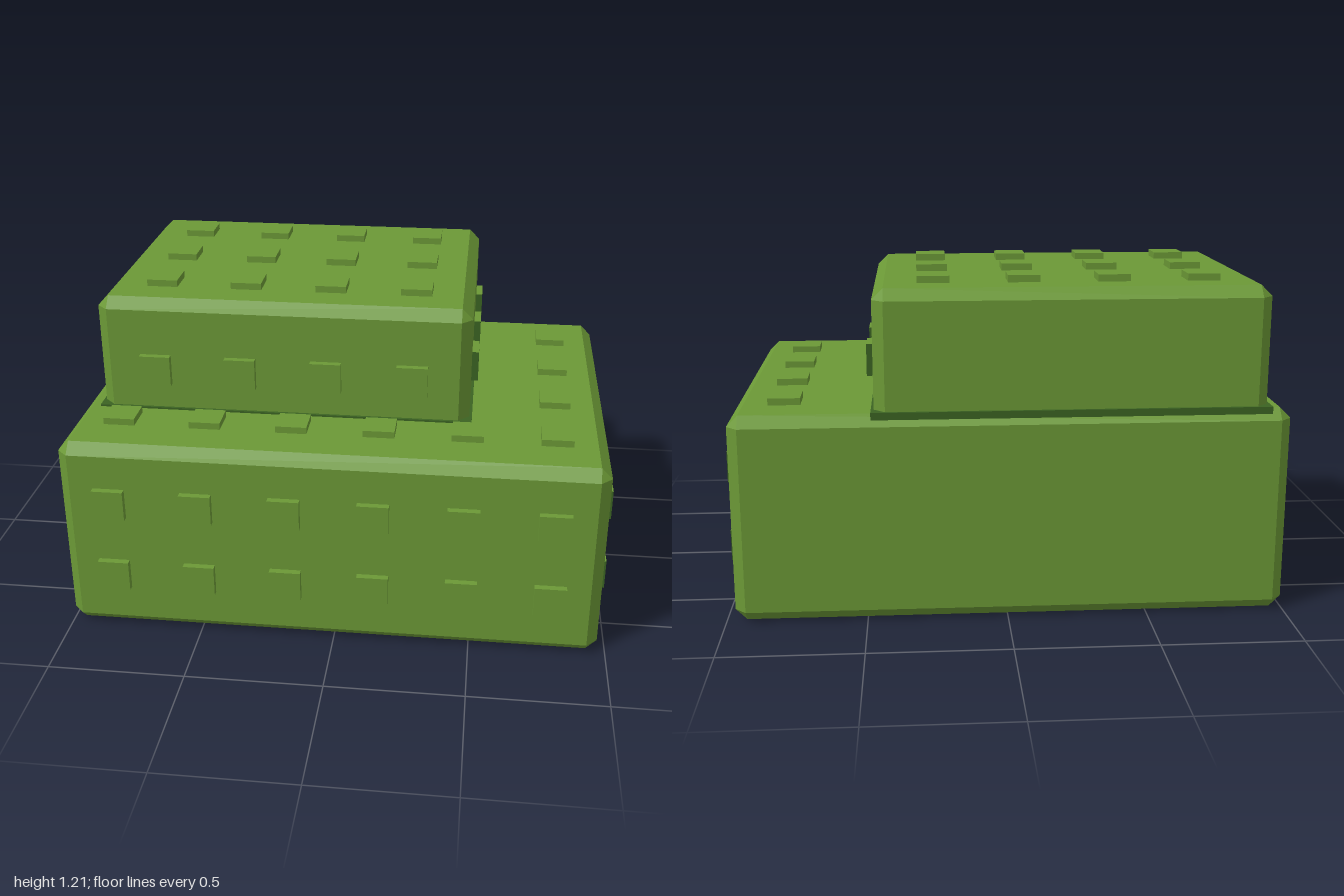
import * as THREE from 'three';
import { ConvexGeometry } from 'three/addons/geometries/ConvexGeometry.js';

const leafGreen = new THREE.MeshStandardMaterial({ color: 0x6b9836 });
leafGreen.name = 'leafGreen';
const darkGreen = new THREE.MeshStandardMaterial({ color: 0x3b6322 });
darkGreen.name = 'darkGreen';

// Box between two corners with every edge cut by a 45 degree chamfer
function chamferBox(min, max, c) {
  const pts = [];
  for (const sx of [0, 1]) for (const sy of [0, 1]) for (const sz of [0, 1]) {
    const s = [sx, sy, sz];
    for (let outer = 0; outer < 3; outer++) {
      const p = s.map((side, i) => {
        const inset = i === outer ? 0 : c;
        return side ? max[i] - inset : min[i] + inset;
      });
      pts.push(new THREE.Vector3(...p));
    }
  }
  return new ConvexGeometry(pts);
}

export function createModel() {
  const model = new THREE.Group();
  model.name = 'studdedBlocks';

  const add = (name, geometry, material, parent = model) => {
    const mesh = new THREE.Mesh(geometry, material);
    mesh.name = name;
    parent.add(mesh);
    return mesh;
  };

  // Two stacked blocks
  add('lowerBlock', chamferBox([-1, 0, -0.73], [0.97, 0.75, 0.71], 0.04), leafGreen);
  add('upperBlock', chamferBox([-0.92, 0.7, -0.705], [0.465, 1.18, 0.36], 0.04), leafGreen);

  // Dark seam around the foot of the upper block
  add('seam', new THREE.BoxGeometry(1.405, 0.026, 1.085), darkGreen)
    .position.set(-0.2275, 0.744, -0.1725);

  // Square studs, thin along the axis they stick out of
  const side = 0.115, rise = 0.025, sunk = 0.01;
  const sideMaterials = [darkGreen, darkGreen, leafGreen, darkGreen, darkGreen, darkGreen];
  const studGeometry = ['x', 'y', 'z'].reduce((all, axis) => {
    const size = (a) => (a === axis ? rise + sunk : side);
    all[axis] = new THREE.BoxGeometry(size('x'), size('y'), size('z'));
    return all;
  }, {});
  const centre = (rise - sunk) / 2;
  const studGrid = (name, axis, xs, ys, zs) => {
    const group = new THREE.Group();
    group.name = name;
    model.add(group);
    for (const x of xs) for (const y of ys) for (const z of zs) {
      const stud = add('stud', studGeometry[axis], axis === 'x' ? sideMaterials : leafGreen, group);
      stud.position.set(x, y, z);
      stud.position[axis] += centre;
    }
  };

  const row6 = [0, 1, 2, 3, 4, 5].map((i) => -0.815 + i * 0.32);
  const row4 = [0, 1, 2, 3].map((i) => -0.705 + i * 0.319);
  const depth3 = [0.145, -0.175, -0.495];
  const depth4 = [0.465, ...depth3];

  studGrid('lowerFrontStuds', 'z', row6, [0.23, 0.525], [0.71]);
  studGrid('lowerSideStuds', 'x', [0.97], [0.23, 0.525], depth4);
  studGrid('ledgeFrontStuds', 'y', row6, [0.75], [0.465]);
  studGrid('ledgeSideStuds', 'y', [0.785], [0.75], depth3);
  studGrid('upperFrontStuds', 'z', row4, [0.91], [0.36]);
  studGrid('upperSideStuds', 'x', [0.465], [0.91], depth3);
  studGrid('upperTopStuds', 'y', row4, [1.18], depth3);

  return model;
}
